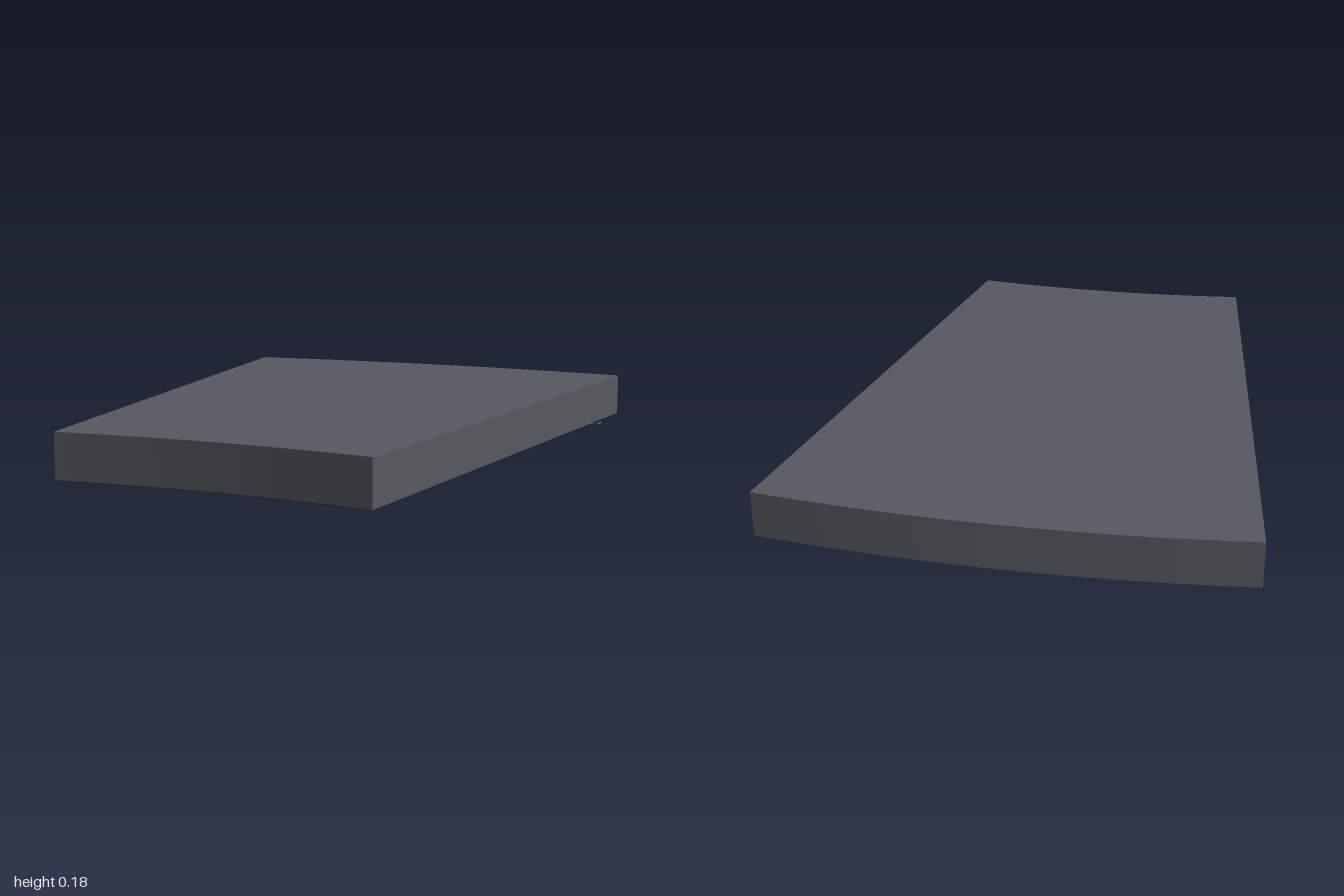
import * as THREE from 'three';
import { toCreasedNormals } from 'three/addons/utils/BufferGeometryUtils.js';

const CENTRE_Z = 5; // common centre of all arcs
const HALF_ANGLE = THREE.MathUtils.degToRad(7.33);
const R_IN = 4.04, R_OUT = 6, R_MID = 5;
const SEGMENTS = 32;

const material = (color) => new THREE.MeshStandardMaterial({ color });
const bodyMat = material(0x555a60);
const rimMat = material(0x2b2c2e);
const panelMat = material(0x45433f);
const seamMat = material(0x85827c);
const channelMat = material(0x111315);
const glowMat = material(0x1f6f86);

// Angle of the side edge at radius r, moved inwards by a constant distance
const edge = (r, inset) => HALF_ANGLE - inset / r;

// Ring-sector slab; from/to give the angle of each side at a radius
function sector(name, r0, r1, from, to, y0, y1, mat) {
  const points = [];
  for (const [r, dir] of [[r1, 1], [r0, -1]]) {
    for (let i = 0; i <= SEGMENTS; i++) {
      const t = dir > 0 ? i / SEGMENTS : 1 - i / SEGMENTS;
      const a = THREE.MathUtils.lerp(from(r), to(r), t);
      points.push(new THREE.Vector2(r * Math.sin(a), r * Math.cos(a) - CENTRE_Z));
    }
  }
  let geometry = new THREE.ExtrudeGeometry(new THREE.Shape(points), { depth: y1 - y0, bevelEnabled: false });
  geometry.rotateX(-Math.PI / 2);
  geometry.translate(0, y0, 0);
  geometry = toCreasedNormals(geometry, 0.5);
  const mesh = new THREE.Mesh(geometry, mat);
  mesh.name = name;
  return mesh;
}

// Slab symmetrical about x = 0
const slab = (name, r0, r1, inset, y0, y1, mat) =>
  sector(name, r0, r1, (r) => -edge(r, inset), (r) => edge(r, inset), y0, y1, mat);

export function createModel() {
  const group = new THREE.Group();
  group.name = 'curvedCeilingSegment';

  // Main slab and the dark rim under it
  group.add(slab('body', R_IN, R_OUT, 0, 0.032, 0.18, bodyMat));
  group.add(slab('lowerRim', 4.055, 5.97, 0.012, 0.026, 0.034, rimMat));

  // Pale backing that shows in the seams and around the panels
  group.add(slab('panelBacking', 4.14, 5.84, 0.03, 0.02, 0.028, seamMat));

  // Four soffit panels with small fasteners in their corners
  const gap = 0.006, inset = 0.038;
  const screw = new THREE.CylinderGeometry(0.009, 0.009, 0.005, 12);
  for (const [r0, r1] of [[4.147, R_MID - gap], [R_MID + gap, 5.833]]) {
    for (const side of [-1, 1]) {
      const inner = (r) => gap / r;
      const outer = (r) => edge(r, inset);
      const from = side > 0 ? inner : (r) => -outer(r);
      const to = side > 0 ? outer : (r) => -inner(r);
      group.add(sector('soffitPanel', r0, r1, from, to, 0.015, 0.026, panelMat));
      for (const r of [r0 + 0.035, r1 - 0.035]) {
        for (const a of [inner(r) + 0.035 / r, outer(r) - 0.035 / r]) {
          const mesh = new THREE.Mesh(screw, panelMat);
          mesh.name = 'fastener';
          mesh.position.set(side * r * Math.sin(a), 0.0135, CENTRE_Z - r * Math.cos(a));
          group.add(mesh);
        }
      }
    }
  }

  // Light channel along the wide edge with its coloured strip
  group.add(slab('lightChannel', 5.85, 5.94, 0.03, 0.012, 0.028, channelMat));
  group.add(slab('lightStrip', 5.885, 5.915, 0.034, 0, 0.013, glowMat));

  return group;
}
